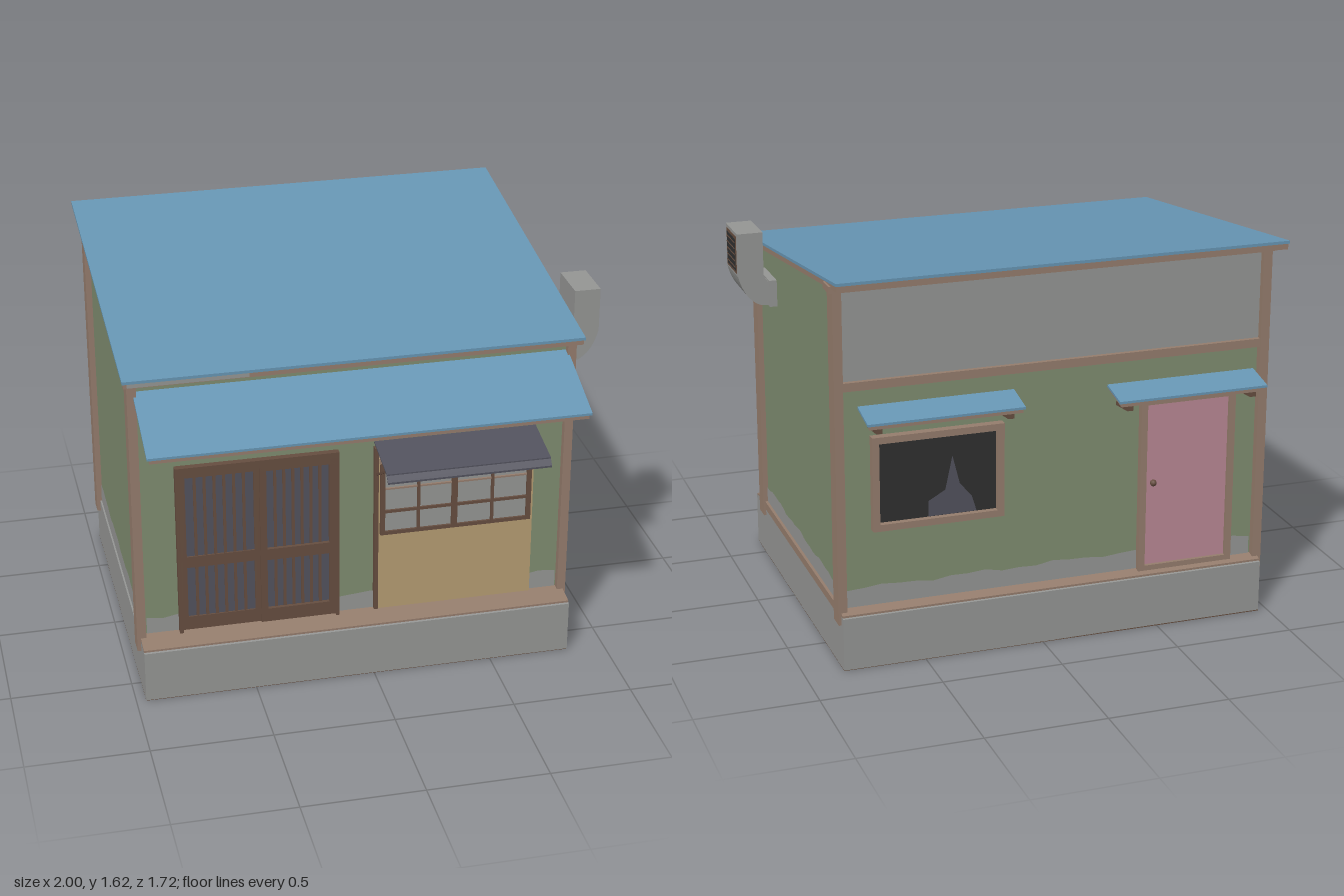
import * as THREE from 'three';

const mat = (name, color) => {
  const m = new THREE.MeshStandardMaterial({ color });
  m.name = name;
  return m;
};

export function createModel() {
  const model = new THREE.Group();
  model.name = 'smallHouse';
  const concrete = mat('concreteGrey', 0x959694);
  const green = mat('plasterGreen', 0x7f8d70);
  const timber = mat('paleTimber', 0x957d6d);
  const dark = mat('darkTimber', 0x664e40);
  const tan = mat('tanPanel', 0xb59d72);
  const blue = mat('blueSheet', 0x6796b4);
  const slate = mat('slateGlass', 0x52525d);
  const pink = mat('pinkDoor', 0xb98894);
  const black = mat('blackGlass', 0x303030);

  const add = (name, geo, material, parent = model) => {
    const mesh = new THREE.Mesh(geo, material);
    mesh.name = name;
    parent.add(mesh);
    return mesh;
  };
  // box from its min and max on each axis
  const box = (name, x0, x1, y0, y1, z0, z1, material, parent) => {
    const g = new THREE.BoxGeometry(x1 - x0, y1 - y0, z1 - z0);
    g.translate((x0 + x1) / 2, (y0 + y1) / 2, (z0 + z1) / 2);
    return add(name, g, material, parent);
  };
  // side profile of [z, y] points, extruded along x
  const prism = (name, pts, x0, x1, material, parent) => {
    const s = new THREE.Shape(pts.map(([z, y]) => new THREE.Vector2(-z, y)));
    const g = new THREE.ExtrudeGeometry(s, { depth: x1 - x0, bevelEnabled: false });
    g.rotateY(Math.PI / 2).translate(x0, 0, 0);
    return add(name, g, material, parent);
  };
  // sloping sheet between two [z, y] points, thickness measured downwards
  const sheet = (name, a, b, t, x0, x1, material, parent) =>
    prism(name, [a, b, [b[0], b[1] - t], [a[0], a[1] - t]], x0, x1, material, parent);
  const group = (name) => {
    const g = new THREE.Group();
    g.name = name;
    model.add(g);
    return g;
  };

  // foundation with weathered top edges
  prism('foundation', [[0.64, 0.002], [0.64, 0.222], [0.55, 0.236], [-0.69, 0.236], [-0.78, 0.222], [-0.78, 0.002]],
    -0.96, 0.84, concrete);
  box('foundationUnderside', -0.96, 0.84, 0, 0.004, -0.78, 0.64, dark);
  sheet('frontSill', [0.63, 0.232], [0.51, 0.25], 0.012, -0.96, 0.84, timber);
  sheet('backSill', [-0.7, 0.25], [-0.77, 0.232], 0.012, -0.96, 0.84, timber);
  box('sideSill', 0.8, 0.843, 0.215, 0.25, -0.69, 0.49, timber);

  // walls with a sloping top
  prism('walls', [[0.52, 0.22], [0.52, 1.415], [-0.72, 1.575], [-0.72, 0.22]], -0.95, 0.828, green);
  box('backUpperPanel', -0.94, 0.82, 1.19, 1.565, -0.726, -0.715, concrete);
  box('backBeam', -0.94, 0.82, 1.155, 1.19, -0.745, -0.7, timber);
  box('backTopBeam', -0.98, 0.865, 1.557, 1.585, -0.76, -0.675, timber);
  box('frontTopBeam', -0.98, 0.855, 1.39, 1.42, 0.5, 0.55, timber);

  // corner posts
  for (const [x0, x1] of [[-0.975, -0.937], [0.814, 0.85]]) {
    box('frontPost', x0, x1, 0.185, 1.425, 0.475, 0.55, timber);
    box('backPost', x0, x1, 0.185, 1.585, -0.75, -0.675, timber);
  }

  // ragged bare patch along the foot of each wall
  const stain = (width, x, z, turn, phase) => {
    const s = new THREE.Shape();
    const n = 24;
    s.moveTo(-width / 2, 0.235);
    s.lineTo(width / 2, 0.235);
    for (let i = n; i >= 0; i--) {
      const u = (i / n - 0.5) * width;
      s.lineTo(u, 0.322 + 0.006 * Math.sin(u * 17 + phase) + 0.004 * Math.sin(u * 41 + phase));
    }
    const m = add('barePlaster', new THREE.ShapeGeometry(s), concrete);
    m.position.set(x, 0, z);
    m.rotation.y = turn;
  };
  stain(1.74, -0.06, 0.523, 0, 0);
  stain(1.74, -0.06, -0.723, Math.PI, 1);
  stain(1.16, 0.831, -0.1, Math.PI / 2, 2);
  stain(1.16, -0.953, -0.1, -Math.PI / 2, 3);

  // main roof
  sheet('roofSheet', [0.62, 1.44], [-0.85, 1.622], 0.012, -1, 0.862, blue);
  sheet('roofBoards', [0.612, 1.43], [-0.845, 1.61], 0.024, -0.995, 0.857, timber);
  box('fasciaPatch', -0.98, -0.5, 1.409, 1.428, 0.608, 0.614, concrete);

  // front awning with brackets
  const awning = group('frontAwning');
  sheet('awningSheet', [0.86, 1.225], [0.52, 1.348], 0.01, -0.948, 0.822, blue, awning);
  sheet('awningBoards', [0.855, 1.217], [0.52, 1.338], 0.018, -0.938, 0.812, timber, awning);
  for (const x of [-0.925, -0.35, 0.22, 0.78])
    prism('awningBracket', [[0.77, 1.212], [0.77, 1.236], [0.52, 1.32], [0.52, 1.238]], x, x + 0.025, dark, awning);

  // sliding front door: two lattice panels
  const door = group('frontDoor');
  box('doorBack', -0.79, -0.135, 0.25, 0.995, 0.51, 0.526, slate, door);
  box('doorHead', -0.797, -0.127, 0.98, 1.003, 0.51, 0.548, dark, door);
  for (const x of [-0.797, -0.142]) box('doorJamb', x, x + 0.015, 0.24, 1, 0.51, 0.548, dark, door);
  for (const [x0, x1, z] of [[-0.785, -0.45, 0.533], [-0.455, -0.14, 0.542]]) {
    for (const x of [x0, x1 - 0.028]) box('doorStile', x, x + 0.028, 0.25, 0.985, 0.52, z, dark, door);
    for (const [y0, y1] of [[0.25, 0.31], [0.54, 0.59], [0.95, 0.985]])
      box('doorRail', x0, x1, y0, y1, 0.52, z, dark, door);
    for (let i = 1; i < 7; i++) {
      const x = x0 + 0.028 + ((x1 - x0 - 0.056) * i) / 7;
      box('doorSlat', x - 0.006, x + 0.006, 0.31, 0.95, 0.52, 0.53, dark, door);
    }
  }

  // shop window over a tan panel
  const win = group('frontWindow');
  box('counterPanel', 0.035, 0.695, 0.245, 0.95, 0.51, 0.535, tan, win);
  box('windowPost', 0.02, 0.036, 0.25, 1, 0.51, 0.546, dark, win);
  box('windowPanes', 0.05, 0.68, 0.61, 0.915, 0.53, 0.537, concrete, win);
  for (const [x, w] of [[0.054, 0.02], [0.205, 0.012], [0.357, 0.025], [0.518, 0.012], [0.674, 0.02]])
    box('windowUpright', x - w / 2, x + w / 2, 0.6, 0.925, 0.53, 0.547, dark, win);
  for (const [y, h, m] of [[0.606, 0.016, dark], [0.705, 0.012, dark], [0.81, 0.007, timber], [0.918, 0.016, dark]])
    box('windowRail', 0.045, 0.684, y - h / 2, y + h / 2, 0.53, 0.546, m, win);
  box('windowHead', 0.04, 0.69, 0.927, 0.95, 0.52, 0.542, timber, win);
  sheet('shadeTop', [0.735, 0.98], [0.52, 1.022], 0.007, 0.022, 0.7, slate, win);
  sheet('shadeLip', [0.755, 0.953], [0.73, 0.98], 0.008, 0.022, 0.7, slate, win);
  for (const x of [0.024, 0.69])
    sheet('shadeStrut', [0.71, 0.985], [0.53, 0.88], 0.01, x, x + 0.008, dark, win);

  // back window
  const rear = group('backWindow');
  box('backGlass', 0.17, 0.69, 0.58, 0.94, -0.73, -0.715, black, rear);
  for (const x of [0.16, 0.675]) box('backWindowSide', x, x + 0.028, 0.565, 0.955, -0.755, -0.715, timber, rear);
  for (const y of [0.565, 0.93]) box('backWindowRail', 0.16, 0.703, y, y + 0.028, -0.755, -0.715, timber, rear);
  const smear = new THREE.Shape([[-0.47, 0.595], [-0.47, 0.66], [-0.4, 0.7], [-0.37, 0.84], [-0.34, 0.72],
    [-0.29, 0.66], [-0.27, 0.595]].map(([x, y]) => new THREE.Vector2(x, y)).reverse());
  add('glassSmear', new THREE.ShapeGeometry(smear), slate, rear).rotation.y = Math.PI;
  rear.children[rear.children.length - 1].position.z = -0.733;

  // back door
  const backDoor = group('backDoor');
  box('backDoorLeaf', -0.81, -0.45, 0.25, 0.96, -0.735, -0.715, pink, backDoor);
  for (const x of [-0.837, -0.452]) box('backDoorJamb', x, x + 0.027, 0.24, 0.985, -0.75, -0.715, timber, backDoor);
  box('backDoorHead', -0.837, -0.425, 0.96, 0.987, -0.75, -0.715, timber, backDoor);
  box('backDoorStep', -0.837, -0.425, 0.24, 0.262, -0.75, -0.715, timber, backDoor);
  const knob = add('doorKnob', new THREE.SphereGeometry(0.014, 10, 8), dark, backDoor);
  knob.position.set(-0.485, 0.62, -0.743);

  // small awnings over the back window and door
  for (const [x0, x1, y] of [[0.11, 0.75, 1.055], [-0.922, -0.285, 1.03]]) {
    const a = group('backAwning');
    sheet('backAwningSheet', [-0.71, y + 0.03], [-0.86, y], 0.01, x0, x1, blue, a);
    sheet('backAwningBoards', [-0.71, y + 0.02], [-0.855, y - 0.01], 0.015, x0 + 0.008, x1 - 0.008, timber, a);
    for (const x of [x0 + 0.04, x1 - 0.065])
      prism('backAwningBracket', [[-0.71, y + 0.01], [-0.84, y - 0.02], [-0.84, y - 0.05], [-0.71, y - 0.065]],
        x, x + 0.025, dark, a);
  }

  // bent vent duct on the left wall
  const duct = group('ventDuct');
  const d = new THREE.Shape();
  d.moveTo(0.82, 1.228);
  d.lineTo(0.9, 1.238);
  d.quadraticCurveTo(0.965, 1.265, 0.99, 1.365);
  d.lineTo(0.99, 1.548);
  d.lineTo(0.882, 1.548);
  d.lineTo(0.882, 1.365);
  d.quadraticCurveTo(0.875, 1.33, 0.85, 1.33);
  d.lineTo(0.82, 1.335);
  const dg = new THREE.ExtrudeGeometry(d, { depth: 0.198, bevelEnabled: false, curveSegments: 8 });
  add('ductBody', dg.translate(0, 0, 0.207), concrete, duct);
  box('ductFlange', 0.825, 0.86, 1.225, 1.338, 0.205, 0.407, concrete, duct);
  box('grilleFrame', 0.986, 0.992, 1.375, 1.534, 0.226, 0.387, dark, duct);
  box('grille', 0.988, 0.994, 1.387, 1.522, 0.238, 0.375, black, duct);
  for (let i = 0; i < 5; i++) {
    const y = 1.4 + i * 0.026;
    box('grilleSlat', 0.99, 0.996, y, y + 0.004, 0.238, 0.375, dark, duct);
  }
  return model;
}
